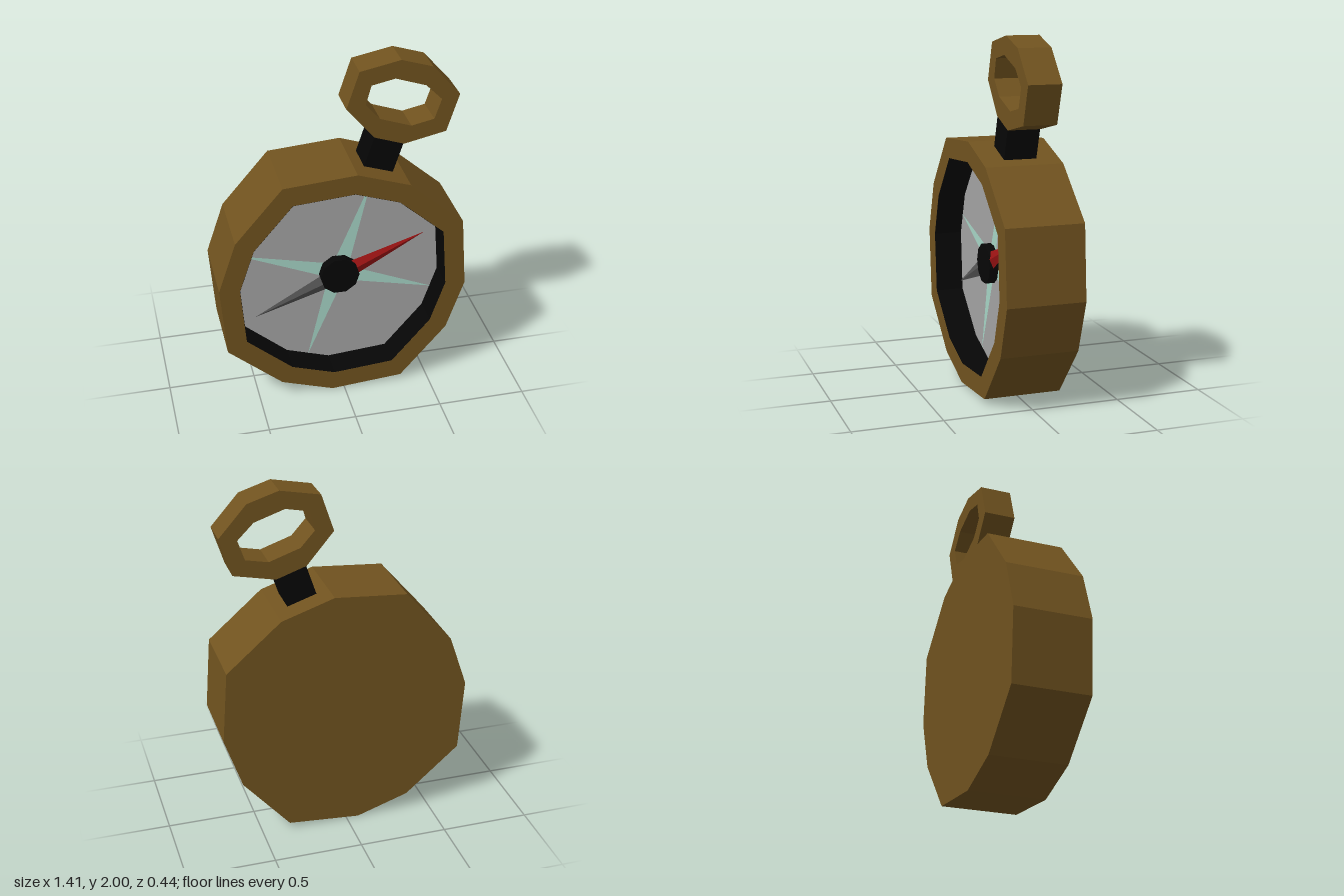
import * as THREE from 'three';

const CENTER = 0.708; // height of the dial centre
const TILT = THREE.MathUtils.degToRad(-18.2); // the whole compass leans to one side

const material = (color) => new THREE.MeshStandardMaterial({ color, flatShading: true });
const brass = material(0x71531f);
const black = material(0x060606);
const dialGrey = material(0xa5a5a5);
const mint = material(0xa8d7c8);
const red = material(0xa01414);
const darkGrey = material(0x555555);

// Outline of the case, relative to the dial centre; the second half is the first one turned by 180 degrees
const half = [[0.605, -0.367], [0.705, -0.073], [0.674, 0.34], [0.367, 0.608], [0.07, 0.707], [-0.34, 0.675]];
const caseOutline = [...half, ...half.map(([x, y]) => [-x, -y])];

const ringOuter = [[0.035, 1.745], [0.188, 1.563], [0.357, 1.505], [0.592, 1.556],
  [0.66, 1.77], [0.505, 1.945], [0.33, 2], [0.105, 1.955]];
const ringInner = [[0.14, 1.76], [0.22, 1.67], [0.395, 1.61], [0.522, 1.637],
  [0.56, 1.75], [0.47, 1.84], [0.3, 1.897], [0.17, 1.87]];

const scaled = (points, s) => points.map(([x, y]) => new THREE.Vector2(x * s, y * s));

// Solid prism between two depths, with an optional hole
function prism(outer, hole, z0, z1) {
  const shape = new THREE.Shape(outer);
  if (hole) shape.holes.push(new THREE.Path(hole));
  return new THREE.ExtrudeGeometry(shape, { depth: z1 - z0, bevelEnabled: false }).translate(0, 0, z0);
}

export function createModel() {
  const model = new THREE.Group();
  model.name = 'compass';

  const add = (parent, name, geometry, mat) => {
    const mesh = new THREE.Mesh(geometry, mat);
    mesh.name = name;
    parent.add(mesh);
  };

  // Case: solid back, open rim and dark inner wall
  const body = new THREE.Group();
  body.name = 'case';
  body.position.y = CENTER;
  model.add(body);
  add(body, 'caseBack', prism(scaled(caseOutline, 1), null, -0.22, 0.05), brass);
  add(body, 'rim', prism(scaled(caseOutline, 1), scaled(caseOutline, 0.837), 0.05, 0.22), brass);
  add(body, 'innerWall', prism(scaled(caseOutline, 0.838), scaled(caseOutline, 0.835), 0.05, 0.219), black);
  add(body, 'dial', prism(scaled(caseOutline, 0.836), null, 0.04, 0.056), dialGrey);

  // Parts that follow the lean of the compass
  const tilted = new THREE.Group();
  tilted.name = 'tiltedParts';
  tilted.position.y = CENTER;
  tilted.rotation.z = TILT;
  model.add(tilted);

  // Four-pointed star lying flat on the dial
  const star = [];
  for (let i = 0; i < 8; i++) {
    const a = (i * Math.PI) / 4;
    const r = i % 2 ? 0.066 : 0.585;
    star.push(new THREE.Vector2(r * Math.cos(a), r * Math.sin(a)));
  }
  add(tilted, 'directionStar', new THREE.ShapeGeometry(new THREE.Shape(star)).translate(0, 0, 0.059), mint);

  // Hub
  add(tilted, 'hub', new THREE.CylinderGeometry(0.113, 0.113, 0.07, 10)
    .rotateX(Math.PI / 2).translate(0, 0, 0.075), black);

  // Needle: two shallow ridged points in opposite directions
  const needle = new THREE.Group();
  needle.name = 'needle';
  needle.position.z = 0.09;
  needle.rotation.z = THREE.MathUtils.degToRad(23.9 - 90) - TILT;
  tilted.add(needle);
  const point = () => new THREE.ConeGeometry(0.05, 0.45, 4).scale(1, 1, 0.35).translate(0, 0.315, 0);
  add(needle, 'redPoint', point(), red);
  add(needle, 'greyPoint', point().rotateZ(Math.PI), darkGrey);

  // Stem and hanging ring
  add(tilted, 'stem', new THREE.BoxGeometry(0.172, 0.2, 0.183).translate(0, 0.775, 0), black);
  add(model, 'hangingRing', prism(scaled(ringOuter, 1), scaled(ringInner, 1), -0.0925, 0.0925), brass);

  return model;
}
